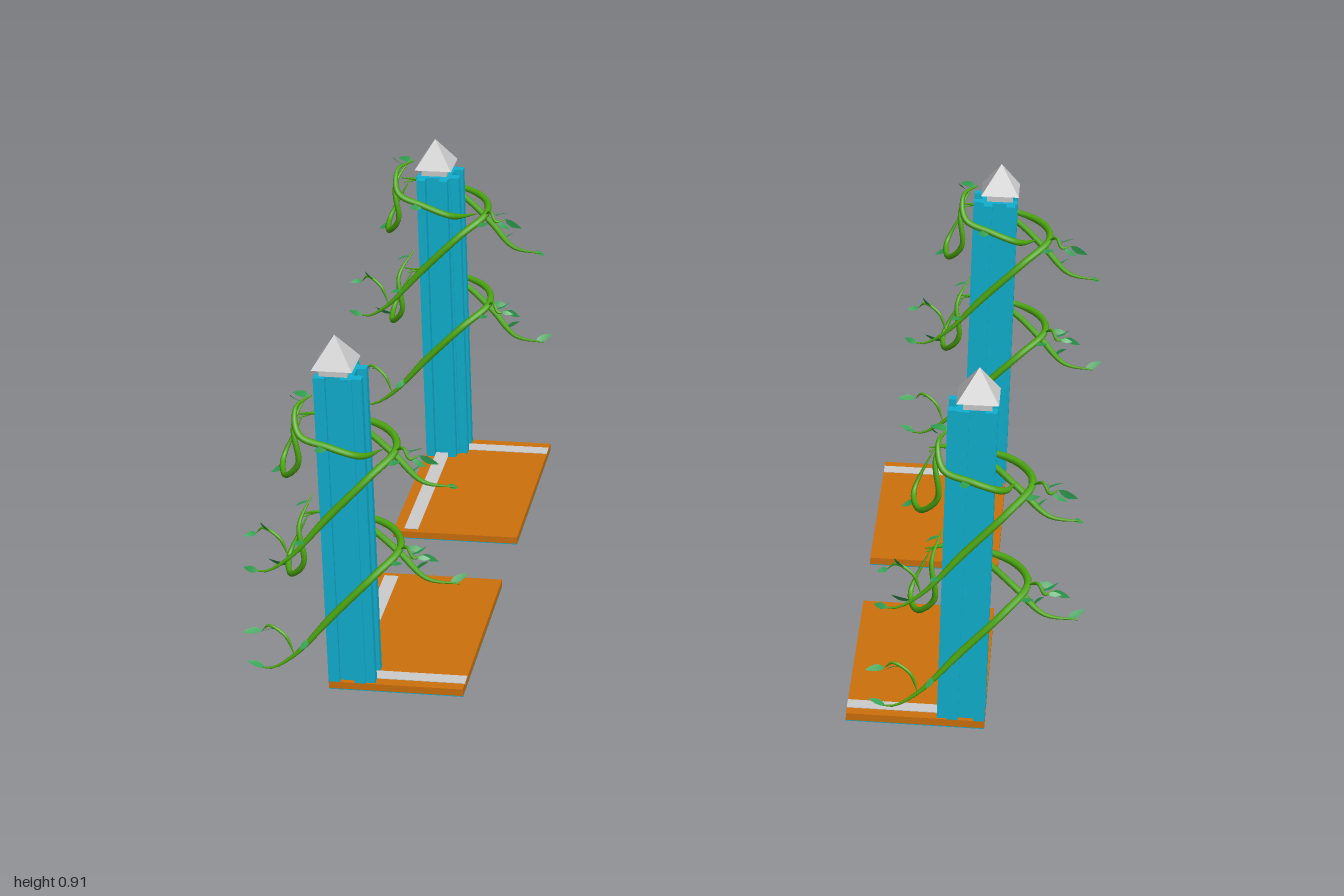
import * as THREE from 'three';

const mat = (color, side = THREE.FrontSide, flatShading = false) =>
  new THREE.MeshStandardMaterial({ color, side, flatShading });
const teal = mat(0x10b0d0);
const orange = mat(0xcc700c);
const grey = mat(0xcccccc, THREE.FrontSide, true);
const stemGreen = mat(0x4ca60f);
const leafGreen = mat(0x2f9e50, THREE.DoubleSide);

function add(parent, name, geometry, material, x = 0, y = 0, z = 0) {
  const mesh = new THREE.Mesh(geometry, material);
  mesh.name = name;
  mesh.position.set(x, y, z);
  parent.add(mesh);
  return mesh;
}

// Box between two corners; u and v point inward from the post, flipped by sx and sz
function block(parent, name, material, sx, sz, [u0, u1], [y0, y1], [v0, v1]) {
  const geometry = new THREE.BoxGeometry(u1 - u0, y1 - y0, v1 - v0);
  add(parent, name, geometry, material, sx * (u0 + u1) / 2, (y0 + y1) / 2, sz * (v0 + v1) / 2);
}

// Post section: square core with shallow outer grooves and slotted inner brackets
function postGeometry(sx, sz) {
  const c = 0.045, b = 0.04, s = 0.018, e = 0.067, g = 0.033;
  const outline = [
    [-c, -c], [-s, -c], [-s, -g], [s, -g], [s, -c], [c, -c],
    [c, -b], [e, -b], [e, -s], [c, -s], [c, s], [e, s], [e, b], [c, b],
    [c, c], [b, c], [b, e], [s, e], [s, c], [-s, c], [-s, e], [-b, e], [-b, c],
    [-c, c], [-c, s], [-g, s], [-g, -s], [-c, -s],
  ];
  const shape = new THREE.Shape(outline.map(([u, v]) => new THREE.Vector2(sx * u, -sz * v)));
  return new THREE.ExtrudeGeometry(shape, { depth: 0.8, bevelEnabled: false }).rotateX(-Math.PI / 2);
}

// Tube that narrows toward both ends
function stemGeometry(curve, radius, segments = 40) {
  const sides = 8;
  const geometry = new THREE.TubeGeometry(curve, segments, radius, sides);
  const pos = geometry.attributes.position;
  const p = new THREE.Vector3();
  for (let i = 0; i <= segments; i++) {
    const t = i / segments;
    const centre = curve.getPointAt(t);
    const k = 0.15 + 0.85 * Math.min(1, 3.5 * t, 3.5 * (1 - t));
    for (let j = 0; j <= sides; j++) {
      const n = i * (sides + 1) + j;
      p.fromBufferAttribute(pos, n).sub(centre).multiplyScalar(k).add(centre);
      pos.setXYZ(n, p.x, p.y, p.z);
    }
  }
  return geometry;
}

// Pointed leaf along +y, folded along its midrib
function leafGeometry() {
  const shape = new THREE.Shape();
  shape.moveTo(0, 0);
  shape.quadraticCurveTo(0.017, 0.016, 0, 0.046);
  shape.quadraticCurveTo(-0.017, 0.016, 0, 0);
  const geometry = new THREE.ShapeGeometry(shape, 5);
  const pos = geometry.attributes.position;
  for (let i = 0; i < pos.count; i++) pos.setZ(i, Math.abs(pos.getX(i)) * 0.5);
  geometry.computeVertexNormals();
  return geometry;
}

// Strands relative to the post centre: wrapping runner, drooping tail, side loop
const runner = [
  [-0.21, 0.08, 0.09], [-0.17, 0.08, 0.1], [-0.11, 0.12, 0.1], [-0.02, 0.22, 0.085],
  [0.08, 0.32, 0.055], [0.13, 0.36, -0.01], [0.1, 0.37, -0.09], [0.02, 0.38, -0.13],
  [-0.07, 0.4, -0.1], [-0.11, 0.43, -0.03],
];
const tail = [
  [-0.11, 0.41, -0.05], [-0.06, 0.4, -0.11], [0.02, 0.35, -0.14], [0.1, 0.28, -0.14],
  [0.17, 0.23, -0.11], [0.25, 0.22, -0.11],
];
const sideLoop = [
  [-0.1, 0.41, -0.06], [-0.14, 0.32, -0.02], [-0.12, 0.31, 0.05],
  [-0.08, 0.36, 0.08], [-0.09, 0.45, 0.07], [-0.07, 0.5, 0.0],
];
const twig = [[0.13, 0.36, -0.01], [0.155, 0.38, 0.02], [0.17, 0.36, 0.03], [0.19, 0.36, 0.01]];
const lowTwig = [[-0.11, 0.12, 0.1], [-0.13, 0.17, 0.1], [-0.17, 0.19, 0.09], [-0.19, 0.17, 0.08]];
const topCurl = [
  [0.09, 0.6, -0.05], [0.06, 0.64, 0.07], [-0.01, 0.67, 0.09], [-0.07, 0.7, 0.1],
  [-0.085, 0.75, 0.06], [-0.06, 0.755, 0.0],
];

function makeVine() {
  let seed = 7;
  const rand = () => (seed = (seed * 16807) % 2147483647) / 2147483647;
  const vine = new THREE.Group();
  vine.name = 'vine';
  const leaf = leafGeometry();
  const up = new THREE.Vector3(0, 1, 0);

  function strand(name, points, rise, radius, leafSpots) {
    const curve = new THREE.CatmullRomCurve3(points.map(([x, y, z]) => new THREE.Vector3(x, y + rise, z)));
    add(vine, name, stemGeometry(curve, radius), stemGreen);
    // Leaves lean outward from the strand
    for (const t of leafSpots) {
      const p = curve.getPointAt(t);
      const dir = new THREE.Vector3(p.x, 0, p.z).normalize()
        .add(new THREE.Vector3(rand() - 0.5, 1.6 * rand() - 0.8, rand() - 0.5)).normalize();
      const mesh = add(vine, 'leaf', leaf, leafGreen, p.x, p.y, p.z);
      mesh.quaternion.setFromUnitVectors(up, dir);
      mesh.rotateY(rand() * 6.28);
      mesh.scale.setScalar(0.7 + 0.4 * rand());
    }
  }

  for (const rise of [0, 0.26]) {
    strand('runner', runner, rise, 0.009, [0.03, 0.2, 0.52]);
    strand('tail', tail, rise, 0.008, [0.75, 0.95]);
    strand('sideLoop', sideLoop, rise, 0.007, [0.3, 0.95]);
    strand('twig', twig, rise, 0.004, [0.4, 0.6, 0.8, 1]);
    strand('lowTwig', lowTwig, rise, 0.004, [0.6, 1]);
  }
  strand('topCurl', topCurl, 0, 0.008, [0.5, 0.98]);
  return vine;
}

function makeCorner(sx, sz) {
  const corner = new THREE.Group();
  corner.name = 'corner';
  const part = (...args) => block(corner, args[0], args[1], sx, sz, ...args.slice(2));

  // Floor slab with wall tracks
  part('slabUnderside', teal, [-0.045, 0.28], [0, 0.002], [-0.045, 0.505]);
  part('floorSlab', orange, [-0.045, 0.28], [0.002, 0.02], [-0.045, 0.505]);
  part('longTrack', grey, [-0.018, 0.018], [0.015, 0.0215], [0.04, 0.49]);
  part('shortTrack', grey, [0.04, 0.28], [0.015, 0.0215], [-0.018, 0.018]);

  // Post and pyramid cap
  add(corner, 'post', postGeometry(sx, sz), teal, 0, 0.02, 0);
  part('capNeck', grey, [-0.033, 0.033], [0.82, 0.842], [-0.033, 0.033]);
  const cap = new THREE.ConeGeometry(0.048 * Math.SQRT2, 0.072, 4).rotateY(Math.PI / 4);
  add(corner, 'capPyramid', cap, grey, 0, 0.876, 0);

  // Vines on the back posts sit higher and are turned slightly
  const vine = makeVine();
  if (sz > 0) {
    vine.position.y = 0.09;
    vine.rotation.y = -0.15;
  }
  corner.add(vine);
  return corner;
}

export function createModel() {
  const model = new THREE.Group();
  model.name = 'cornerPosts';
  for (const [x, sx] of [[-0.765, 1], [0.708, -1]]) {
    for (const [z, sz] of [[0.632, -1], [-0.605, 1]]) {
      const corner = makeCorner(sx, sz);
      corner.position.set(x, 0, z);
      model.add(corner);
    }
  }
  return model;
}
